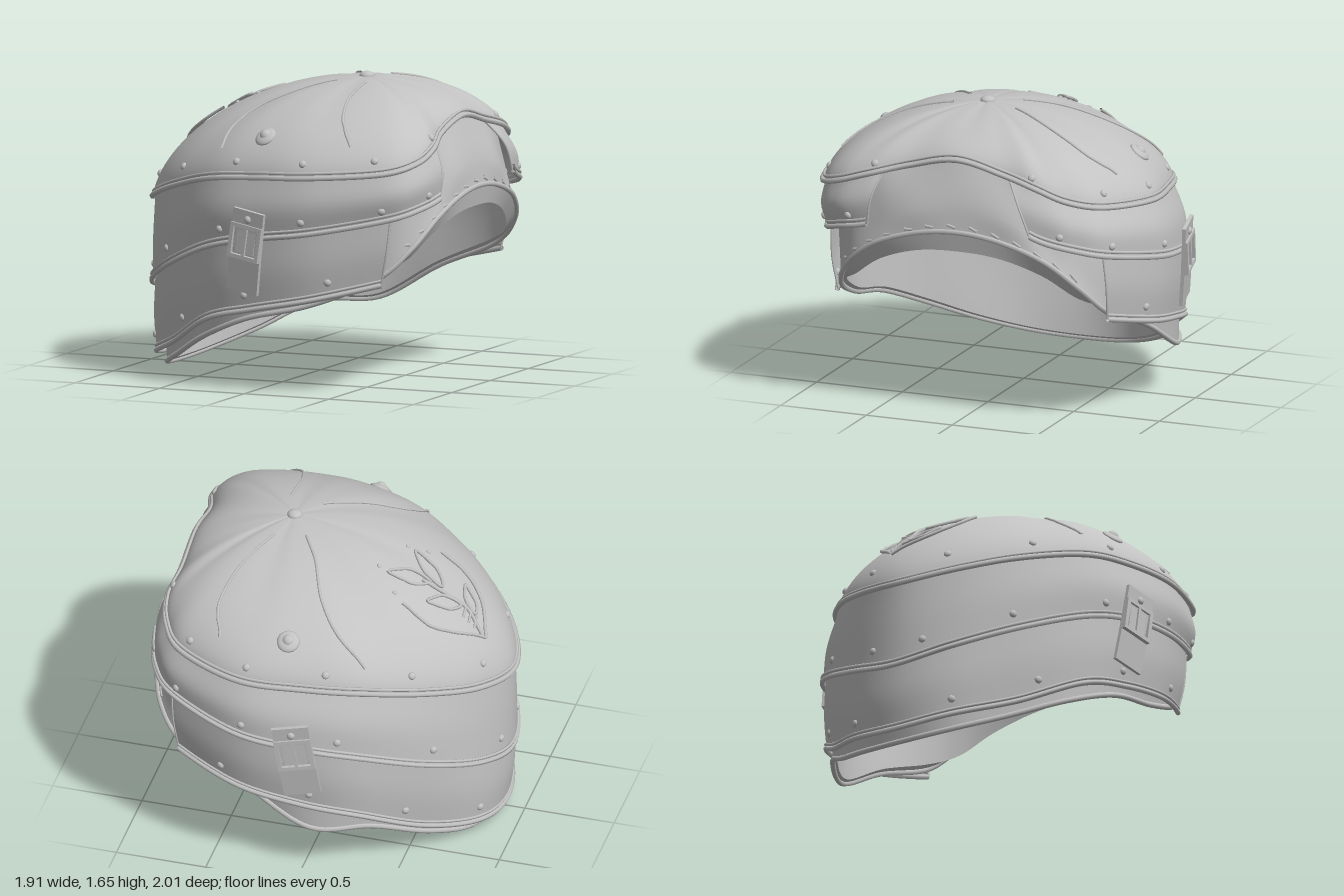
import * as THREE from 'three';

const V = (x, y, z) => new THREE.Vector3(x, y, z);
const { lerp, smoothstep } = THREE.MathUtils;
const APEX = V(0.31, 1.63, 0.08);
const STEPS = 20; // control points around each ring; 0 = face, 10 = nape

// Closed ring from half a list of [x, y, z], mirrored across z and shifted by dz
function ring(half, dz = 0, right = {}) {
  const pts = half.map(([x, y, z]) => V(x, y, z + dz));
  for (let i = 9; i > 0; i--) {
    const [x, y, z] = right[i] || half[i];
    pts.push(V(x, y, -z + dz));
  }
  const curve = new THREE.CatmullRomCurve3(pts, true, 'catmullrom', 0.5);
  return t => curve.getPoint(((t % 1) + 1) % 1);
}

const capEdge = ring([[0.85, 1.44, 0], [0.85, 1.38, 0.28], [0.9, 1.32, 0.5], [0.88, 1.26, 0.68], [0.74, 1.215, 0.82],
  [0.35, 1.185, 0.92], [0, 1.165, 0.88], [-0.3, 1.13, 0.78], [-0.61, 1.04, 0.56], [-0.83, 0.95, 0.3], [-0.93, 0.9, 0]], 0.035,
  { 2: [0.87, 1.33, 0.47], 3: [0.83, 1.265, 0.63], 4: [0.7, 1.22, 0.79] });
const bandEdge = ring([[0.94, 1.21, 0], [0.95, 1.15, 0.28], [0.94, 1.06, 0.5], [0.89, 1.01, 0.7], [0.75, 0.96, 0.83],
  [0.35, 0.88, 0.95], [0, 0.83, 0.935], [-0.3, 0.76, 0.83], [-0.62, 0.62, 0.6], [-0.85, 0.49, 0.31], [-0.935, 0.42, 0]], 0,
  { 2: [0.93, 1.06, 0.48], 3: [0.87, 1.01, 0.66], 4: [0.73, 0.96, 0.81] });
const lowEdge = ring([[0.9, 0.8, 0], [0.9, 0.76, 0.28], [0.86, 0.7, 0.5], [0.8, 0.63, 0.7], [0.7, 0.6, 0.79],
  [0.35, 0.515, 0.91], [0, 0.445, 0.9], [-0.3, 0.37, 0.81], [-0.6, 0.2, 0.57], [-0.83, 0.1, 0.3], [-0.9, 0.06, 0]]);
const rimHalf = [[0.935, 1.06, 0], [0.93, 1.03, 0.25], [0.91, 0.94, 0.5], [0.84, 0.79, 0.68], [0.68, 0.63, 0.78],
  [0.32, 0.48, 0.85], [-0.05, 0.39, 0.85], [-0.35, 0.265, 0.74], [-0.6, 0.13, 0.52], [-0.78, 0.04, 0.28], [-0.83, 0.015, 0]];
const rim = ring(rimHalf, 0, { 6: [-0.04, 0.285, 0.87] });
const lipTail = rimHalf.slice(4).map(([x, y, z]) => [x * 0.97, y + 0.02, z * 0.97]);
const lip = ring([[0.92, 0.95, 0], [0.91, 0.93, 0.24], [0.87, 0.85, 0.47], [0.8, 0.73, 0.64], ...lipTail],
  0, { 6: [-0.04, 0.305, 0.845] });

const fromFace = t => Math.min(t, 1 - t) * STEPS;
const scaled = (r, s, dy = 0) => t => {
  const p = r(t), k = typeof s === 'function' ? s(t) : s;
  return V(p.x * k, p.y + dy, p.z * k);
};
const mid = (a, b, v, s) => scaled(t => a(t).lerp(b(t), v), s);
const surface = (...rings) => (t, v) => new THREE.CatmullRomCurve3(rings.map(r => r(t))).getPoint(v);

// Surfaces as functions of t (around) and v (top to bottom; the lining runs bottom to top)
const inset = t => 0.965 - 0.02 * smoothstep(fromFace(t), 0.8, 2.5);
const bulge = t => 1.025 - 0.025 * smoothstep(fromFace(t), 6.5, 9.5);
const dome = (t, v) => {
  const e = capEdge(t), a = v * Math.PI / 2, u = Math.sin(a);
  const pleat = 0.01 * Math.pow(Math.abs(Math.cos(8 * Math.PI * t)), 6) * Math.sin(2 * a);
  return V(lerp(APEX.x, e.x, u), lerp(e.y, APEX.y, Math.pow(Math.max(Math.cos(a), 0), 1.24)) - pleat, lerp(APEX.z, e.z, u));
};
const band = surface(scaled(capEdge, 0.99), mid(capEdge, bandEdge, 0.5, bulge), bandEdge);
const tier = surface(scaled(bandEdge, 0.985), mid(bandEdge, lowEdge, 0.5, 1.005), lowEdge);
const shell = surface(scaled(capEdge, inset), scaled(bandEdge, inset), rim);
const lining = surface(lip, scaled(bandEdge, 0.92), scaled(capEdge, 0.91, -0.02),
  scaled(t => dome(t, 0.65), 0.96, -0.04), scaled(t => dome(t, 0.32), 1, -0.05), () => V(0.31, 1.58, 0.08));

// Grid mesh over a surface; ends may slant from top to bottom
function sheet(fn, nt, nv, top = [0, 1], bottom = top) {
  const pos = [], idx = [], closed = top[1] - top[0] === 1;
  const cols = closed ? nt : nt + 1;
  for (let j = 0; j <= nv; j++) for (let i = 0; i < cols; i++) {
    const v = j / nv;
    pos.push(...fn(lerp(lerp(top[0], bottom[0], v), lerp(top[1], bottom[1], v), i / nt), v).toArray());
  }
  for (let j = 0; j < nv; j++) for (let i = 0; i < nt; i++) {
    const a = j * cols + i, b = j * cols + (i + 1) % cols;
    idx.push(a, b, a + cols, b, b + cols, a + cols);
  }
  const g = new THREE.BufferGeometry();
  g.setAttribute('position', new THREE.Float32BufferAttribute(pos, 3));
  g.setIndex(idx);
  g.computeVertexNormals();
  return g;
}

function outward(fn, t, v) {
  const p = fn(t, v), e = 0.004;
  const n = fn(t + e, v).sub(fn(t - e, v)).cross(fn(t, v + e).sub(fn(t, v - e))).normalize();
  return n.dot(p.clone().sub(V(0.1, 0.7, 0))) < 0 ? n.negate() : n;
}

// Dome surface parameters above a plan position
function domeParam(x, z) {
  const a = Math.atan2(z - APEX.z, x - APEX.x);
  let best = 0, err = 9;
  for (let i = 0; i < 1200; i++) {
    const e = capEdge(i / 1200), d = Math.atan2(e.z - APEX.z, e.x - APEX.x) - a;
    const w = Math.abs(Math.atan2(Math.sin(d), Math.cos(d)));
    if (w < err) { err = w; best = i / 1200; }
  }
  const e = capEdge(best);
  const u = Math.hypot(x - APEX.x, z - APEX.z) / Math.hypot(e.x - APEX.x, e.z - APEX.z);
  return [best, Math.asin(Math.min(u, 1)) / (Math.PI / 2)];
}

export function createModel() {
  const root = new THREE.Group();
  root.name = 'helmet';
  const steel = new THREE.MeshStandardMaterial({ color: 0xc2c2c2, side: THREE.DoubleSide });
  steel.name = 'grey steel';
  const add = (name, geo, parent = root) => {
    const m = new THREE.Mesh(geo, steel);
    m.name = name;
    parent.add(m);
    return m;
  };
  const tube = (name, pts, r, closed = false, n = pts.length * 2) =>
    add(name, new THREE.TubeGeometry(new THREE.CatmullRomCurve3(pts, closed), n, r, 6, closed));
  const trim = (name, r, t0, t1, radius) => {
    const closed = t1 - t0 === 1, n = 90;
    const pts = Array.from({ length: closed ? n : n + 1 }, (_, i) => r(lerp(t0, t1, i / n)));
    tube(name, pts, radius, closed, 160);
  };

  // Plates and lining
  add('crown', sheet(dome, 192, 24));
  add('upperPlate', sheet(band, 150, 10, [1.6 / 20, 1 - 1.1 / 20], [2.1 / 20, 1 - 1.7 / 20]));
  add('lowerPlate', sheet(tier, 140, 8, [3.85 / 20, 1 - 3.85 / 20], [3.95 / 20, 1 - 3.95 / 20]));
  add('innerShell', sheet(shell, 160, 14));
  add('browLip', sheet((t, v) => rim(t).lerp(lip(t), v), 160, 3));
  add('lining', sheet(lining, 120, 25));

  // Rolled edges
  trim('crownTrim', scaled(capEdge, 1.008), 0, 1, 0.015);
  trim('crownTrimUpper', scaled(capEdge, 1.0, 0.026), 0, 1, 0.009);
  trim('upperPlateTrim', scaled(bandEdge, 1.006), 2.1 / 20, 1 - 1.7 / 20, 0.014);
  trim('upperPlateTrimUpper', scaled(bandEdge, 1.006, 0.028), 2.1 / 20, 1 - 1.7 / 20, 0.009);
  trim('lowerPlateTrim', scaled(lowEdge, 1.004), 3.95 / 20, 1 - 3.95 / 20, 0.014);
  trim('lowerPlateTrimUpper', scaled(lowEdge, 1.006, 0.026), 3.95 / 20, 1 - 3.95 / 20, 0.008);
  trim('rimRoll', rim, 0, 1, 0.015);
  for (const [name, fn, t0, t1] of [['upperPlateEnd', band, 1.6, 2.1], ['upperPlateEnd', band, 18.9, 18.3],
    ['lowerPlateEnd', tier, 3.85, 3.95], ['lowerPlateEnd', tier, 16.15, 16.05]])
    tube(name, Array.from({ length: 7 }, (_, i) => fn(lerp(t0, t1, i / 6) / STEPS, i / 6)), 0.006);

  // Rivets
  const ball = new THREE.SphereGeometry(1, 14, 8);
  const stud = (name, fn, t, v, r, flat = 0.7) => {
    const m = add(name, ball);
    m.position.copy(fn(t, v));
    m.quaternion.setFromUnitVectors(V(0, 1, 0), outward(fn, t, v));
    m.scale.set(r, r * flat, r);
  };
  const rows = [['crownRivet', dome, 0.84, [1.9, 4.1, 5.1, 6.4, 7.8, 9.2]],
    ['upperPlateRivet', band, 0.78, [2.6, 4.05, 5.1, 6.65, 8.1, 9.5]],
    ['lowerPlateRivet', tier, 0.78, [4.75, 6.15, 7.7, 9.0]]];
  for (const [name, fn, v, ks] of rows)
    for (const k of ks) for (const t of [k / STEPS, 1 - k / STEPS]) stud(name, fn, t, v, 0.021);
  for (const t of [6.05 / STEPS, 1 - 5.75 / STEPS]) {
    stud('largeRivetBase', dome, t, 0.65, 0.062, 0.35);
    stud('largeRivetHead', dome, t, 0.645, 0.036, 1.0);
  }
  const button = add('crownButton', ball);
  button.position.copy(APEX);
  button.scale.set(0.042, 0.025, 0.042);

  // Raised lines laid on the crown from plan positions
  const draped = (name, plan, r, lift, closed = false) => {
    const c = new THREE.CatmullRomCurve3(plan.map(([x, z]) => V(x, 0, z)), closed);
    const n = plan.length * 3;
    const pts = Array.from({ length: closed ? n : n + 1 }, (_, i) => {
      const p = c.getPoint(i / n), [t, v] = domeParam(p.x, p.z);
      return dome(t, v).addScaledVector(outward(dome, t, v), lift);
    });
    tube(name, pts, r, closed);
  };
  for (const plan of [[[-0.3, -0.68], [-0.13, -0.62], [0, -0.48], [0.1, -0.25], [0.2, -0.08]],
    [[0.49, -0.75], [0.54, -0.6], [0.49, -0.37], [0.37, -0.11]],
    [[0.2, 0.23], [0, 0.38], [-0.18, 0.52], [-0.24, 0.64], [-0.24, 0.76]],
    [[0.38, 0.25], [0.39, 0.5], [0.45, 0.7], [0.55, 0.83]]]) draped('crownSeam', plan, 0.008, 0.003);

  // Leaf ornament at the back of the crown
  const LIFT = 0.012;
  draped('ornamentBorder', [[-0.39, -0.28], [-0.54, -0.3], [-0.65, -0.24], [-0.8, -0.09]], 0.009, LIFT);
  draped('ornamentBorder', [[-0.8, -0.09], [-0.72, 0.1], [-0.61, 0.2], [-0.46, 0.23]], 0.009, LIFT);
  draped('ornamentStem', [[-0.78, -0.1], [-0.68, -0.04], [-0.56, -0.06], [-0.44, -0.07]], 0.01, LIFT);
  const leaf = (x0, z0, x1, z1, w) => {
    const dx = x1 - x0, dz = z1 - z0, l = Math.hypot(dx, dz);
    const at = (f, s) => [x0 + dx * f - dz / l * s, z0 + dz * f + dx / l * s];
    draped('ornamentLeaf', [at(0, 0), at(0.4, w), at(0.75, w * 0.6), at(1, 0), at(0.75, -w * 0.6), at(0.4, -w)], 0.009, LIFT, true);
  };
  leaf(-0.48, -0.05, -0.27, -0.14, 0.045);
  leaf(-0.65, -0.05, -0.5, -0.18, 0.035);
  leaf(-0.54, -0.03, -0.35, 0.12, 0.045);
  leaf(-0.72, -0.03, -0.63, 0.11, 0.03);
  for (const x of [-0.74, -0.71, -0.68]) draped('ornamentBar', [[x, -0.11], [x + 0.01, -0.02]], 0.007, LIFT);
  for (const p of [[-0.34, -0.24], [-0.22, -0.12], [-0.31, 0.13], [-0.41, 0.18]])
    stud('ornamentDot', dome, ...domeParam(...p), 0.013);

  // Stitches above the face opening
  for (let i = -6; i <= 6; i++) {
    const t = 1 + (i * 0.5 + 0.05) / STEPS;
    tube('stitch', [shell(t % 1, 0.92), shell((t + 0.009) % 1, 0.87)], 0.008);
  }

  // Strap and buckle on each side
  for (const side of [1, -1]) {
    const g = new THREE.Group();
    g.name = side > 0 ? 'frontBuckle' : 'backBuckle';
    const box = (name, w, h, d, x, y, z, rx = 0) => {
      const m = add(name, new THREE.BoxGeometry(w, h, d), g);
      m.position.set(x, y, z);
      m.rotation.x = rx;
    };
    box('strapTop', 0.2, 0.23, 0.02, 0, 0.11, 0.018, 0.06);
    box('strapEnd', 0.2, 0.24, 0.02, 0, -0.11, 0.002, 0.09);
    for (const x of [-0.09, 0.09]) box('buckleSide', 0.022, 0.19, 0.026, x, 0.05, 0.028);
    for (const y of [-0.035, 0.135]) box('buckleBar', 0.2, 0.022, 0.026, 0, y, 0.028);
    box('bucklePin', 0.018, 0.17, 0.02, 0, 0.05, 0.03);
    box('buckleTongue', 0.12, 0.13, 0.016, 0, 0.05, 0.02);
    const knob = add('strapRivet', ball, g);
    knob.position.set(0, 0.175, 0.03);
    knob.scale.set(0.022, 0.022, 0.016);
    g.rotation.set(0, -0.19 * side, -0.155);
    g.position.set(-0.01 * side, 0.77, side * 0.942);
    g.scale.z = side;
    root.add(g);
  }
  return root;
}
